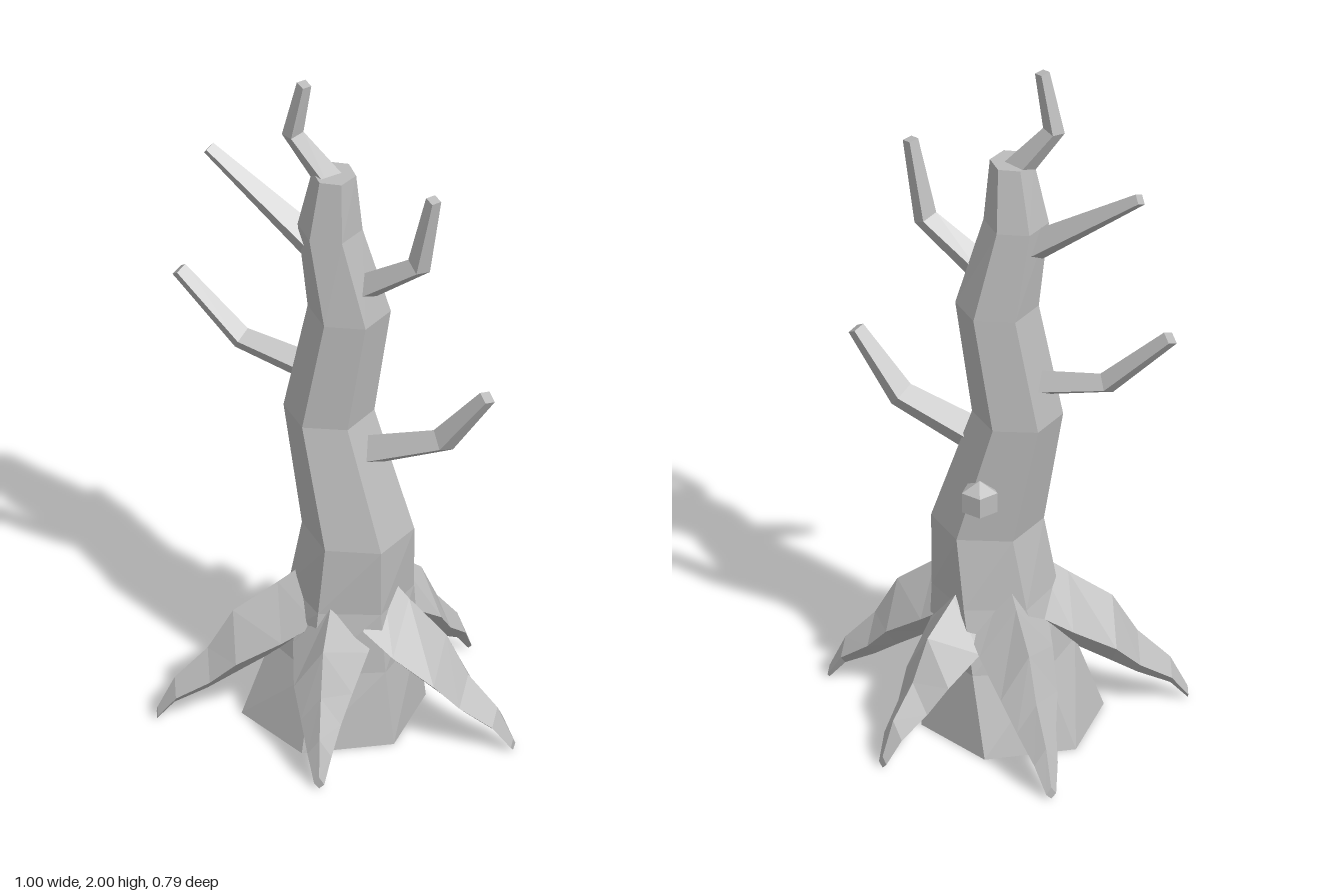
import * as THREE from 'three';

const V = (x, y, z) => new THREE.Vector3(x, y, z);

// Skin a list of rings (each counter-clockwise around the travel direction); cap the end, and the start if asked
function loft(rings, capStart) {
  const pos = [];
  const tri = (a, b, c) => pos.push(...a.toArray(), ...b.toArray(), ...c.toArray());
  const n = rings[0].length;
  for (let k = 0; k < rings.length - 1; k++) {
    for (let i = 0; i < n; i++) {
      const j = (i + 1) % n;
      tri(rings[k][i], rings[k][j], rings[k + 1][j]);
      tri(rings[k][i], rings[k + 1][j], rings[k + 1][i]);
    }
  }
  const first = rings[0], last = rings[rings.length - 1];
  for (let i = 1; i < n - 1; i++) {
    if (capStart) tri(first[0], first[i + 1], first[i]);
    tri(last[0], last[i], last[i + 1]);
  }
  const g = new THREE.BufferGeometry();
  g.setAttribute('position', new THREE.Float32BufferAttribute(pos, 3));
  g.computeVertexNormals();
  return g;
}

// Crooked six-sided trunk, open below: [y, centre x, centre z, radius, turn in degrees]
function trunkGeometry() {
  const sections = [
    [0, -0.03, 0, 0.25, 30],
    [0.22, 0, 0, 0.197, 36],
    [0.4, 0.02, 0, 0.168, 42],
    [0.6, 0.042, 0.007, 0.151, 46],
    [0.95, -0.048, -0.012, 0.122, 46],
    [1.28, 0.008, -0.017, 0.112, 47],
    [1.54, -0.042, -0.005, 0.088, 49],
    [1.72, -0.028, 0.002, 0.06, 51],
  ];
  return loft(sections.map(([y, cx, cz, r, turn]) =>
    Array.from({ length: 6 }, (_, i) => {
      const a = THREE.MathUtils.degToRad(turn - i * 60);
      return V(cx + r * Math.cos(a), y, cz + r * Math.sin(a));
    })), false);
}

// Ridged root running outward and down to a tip at (x, z), bowed sideways by bend
function rootGeometry(x, z, bend) {
  // [fraction of length, top y, bottom y, half width]
  const sections = [
    [0.2, 0.49, 0.26, 0.115],
    [0.38, 0.42, 0.2, 0.103],
    [0.61, 0.335, 0.13, 0.08],
    [0.74, 0.22, 0.09, 0.055],
    [0.91, 0.13, 0.05, 0.033],
    [1, 0.035, 0, 0.014],
  ];
  const start = V(0.02, 0, 0), end = V(x, 0, z);
  const dir = end.clone().sub(start).normalize();
  const side = V(0, 1, 0).cross(dir);
  return loft(sections.map(([f, top, bottom, w]) => {
    const c = start.clone().lerp(end, f).addScaledVector(side, bend * Math.sin(Math.PI * f));
    const at = (s, y) => c.clone().addScaledVector(side, s).setY(y);
    const mid = bottom + (top - bottom) * 0.4;
    return [at(w, mid), at(0, top), at(-w, mid), at(0, bottom)];
  }), true);
}

// Four-sided tapering branch through a few points
function branchGeometry(points, radii) {
  const p = points.map((a) => V(...a));
  return loft(p.map((c, k) => {
    const t = V(0, 0, 0);
    if (k > 0) t.add(c.clone().sub(p[k - 1]).normalize());
    if (k < p.length - 1) t.add(p[k + 1].clone().sub(c).normalize());
    t.normalize();
    const s = V(0, 0, 1).cross(t).normalize();
    const u = t.clone().cross(s);
    return Array.from({ length: 4 }, (_, i) => {
      const a = (i * Math.PI) / 2 + 0.2;
      return c.clone()
        .addScaledVector(s, radii[k] * Math.cos(a))
        .addScaledVector(u, radii[k] * Math.sin(a));
    });
  }), true);
}

export function createModel() {
  const tree = new THREE.Group();
  tree.name = 'deadTree';
  const bark = new THREE.MeshStandardMaterial({ color: 0xbcbcbc });
  bark.name = 'greyBark';
  bark.flatShading = true;
  bark.side = THREE.DoubleSide;
  const add = (name, geometry) => {
    const mesh = new THREE.Mesh(geometry, bark);
    mesh.name = name;
    tree.add(mesh);
    return mesh;
  };

  add('trunk', trunkGeometry());

  // Roots: tip x, tip z, sideways bow
  const roots = {
    leftRoot: [0.495, 0.042, -0.025],
    frontRoot: [0.07, 0.39, -0.025],
    rightRoot: [-0.45, 0.225, 0],
    backRightRoot: [-0.26, -0.39, 0],
    backLeftRoot: [0.218, -0.37, 0.005],
  };
  for (const [name, spec] of Object.entries(roots)) add(name, rootGeometry(...spec));

  // Branches
  add('lowerRightBranch', branchGeometry(
    [[-0.06, 1.05, -0.02], [-0.305, 1.1, -0.035], [-0.485, 1.275, -0.042]], [0.045, 0.034, 0.024]));
  add('upperRightBranch', branchGeometry(
    [[-0.06, 1.45, -0.005], [-0.4, 1.69, -0.04]], [0.05, 0.02]));
  add('lowerLeftBranch', branchGeometry(
    [[0.05, 0.84, 0], [0.285, 0.935, 0.01], [0.415, 1.11, 0.022]], [0.052, 0.04, 0.024]));
  add('upperLeftBranch', branchGeometry(
    [[0.04, 1.36, 0], [0.22, 1.49, 0.02], [0.265, 1.72, 0.03]], [0.044, 0.034, 0.021]));
  add('topBranch', branchGeometry(
    [[-0.03, 1.68, 0], [-0.143, 1.83, 0.01], [-0.108, 2, 0.017]], [0.042, 0.03, 0.02]));

  // Knot on the back of the trunk
  const knot = add('knot', new THREE.SphereGeometry(0.058, 5, 3));
  knot.position.set(0.02, 0.735, -0.135);

  return tree;
}
